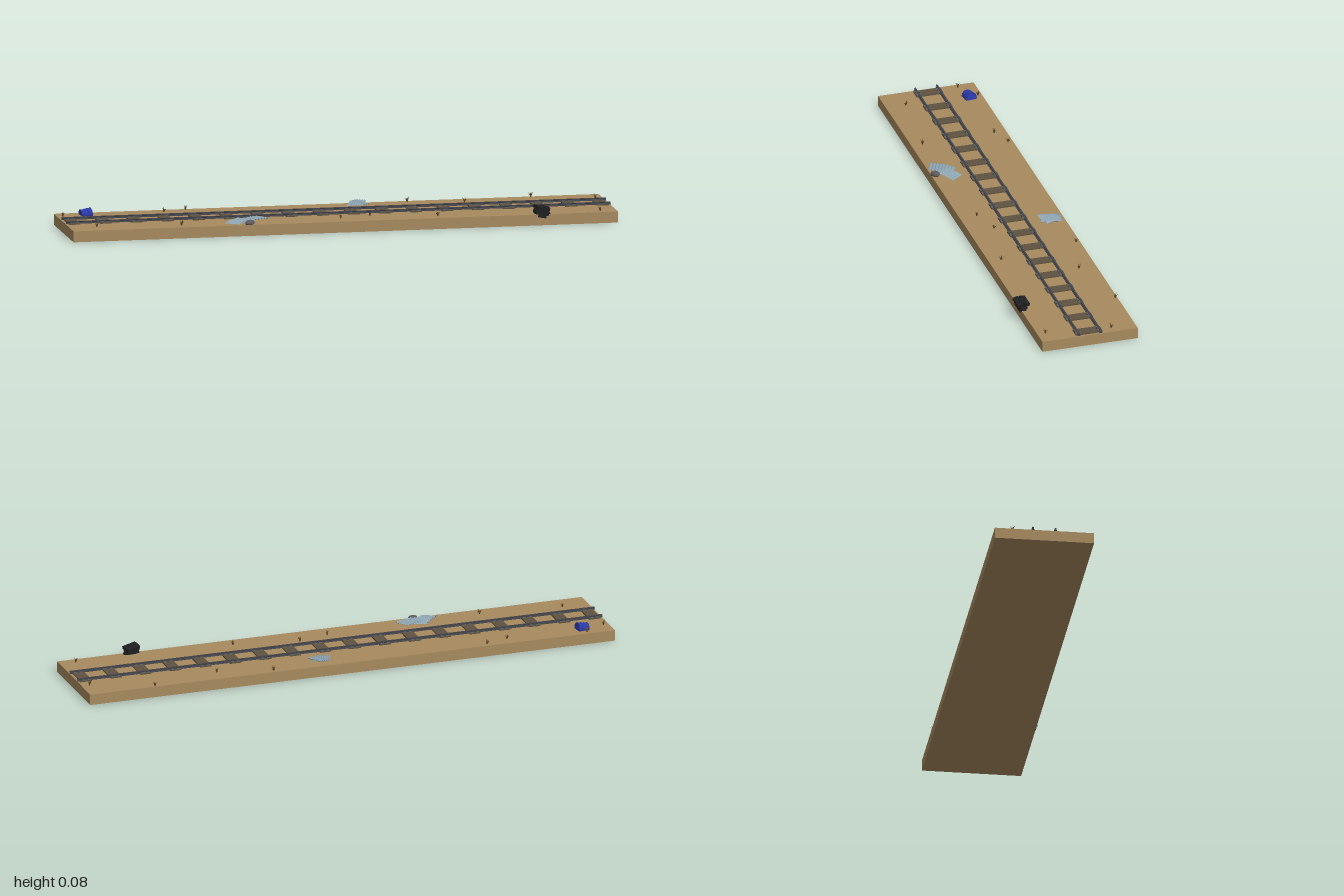
import * as THREE from 'three';
import { mergeGeometries } from 'three/addons/utils/BufferGeometryUtils.js';

const paint = (name, color, extra = {}) => new THREE.MeshStandardMaterial({ name, color, ...extra });

export function createModel() {
  const mats = {
    sand: paint('sand', 0xa78a5f),
    wood: paint('weathered wood', 0x5f5340),
    rail: paint('rail steel', 0x45464c),
    plate: paint('plate steel', 0x62605c),
    grass: paint('dry grass', 0x66502c, { side: THREE.DoubleSide }),
    sheet: paint('corrugated metal', 0x8fa6b4, { side: THREE.DoubleSide }),
    blue: paint('barrel blue', 0x2c3aa8),
    black: paint('burnt black', 0x202022, { flatShading: true }),
    stone: paint('grey stone', 0x5c5a5e, { flatShading: true }),
  };
  const root = new THREE.Group();
  const add = (name, geo, mat, pos = [0, 0, 0], rot = [0, 0, 0], parent = root) => {
    const m = new THREE.Mesh(geo, mat);
    m.name = name;
    m.position.set(...pos);
    m.rotation.set(...rot);
    parent.add(m);
    return m;
  };
  const group = (name, pos, rot = [0, 0, 0]) => {
    const g = new THREE.Group();
    g.name = name;
    g.position.set(...pos);
    g.rotation.set(...rot);
    root.add(g);
    return g;
  };
  let seed = 7;
  const rnd = () => (seed = (seed * 16807) % 2147483647) / 2147483647;

  // Ground slab
  const GROUND = 0.04;
  add('ground', new THREE.BoxGeometry(2, GROUND, 0.36), mats.sand, [0, GROUND / 2, -0.009]);

  // Sleepers with a pair of rail plates and bolts each
  const railZ = [0.032, -0.05];
  for (let i = 0; i < 18; i++) {
    const x = -0.969 + i * 0.114;
    add('sleeper', new THREE.BoxGeometry(0.042, 0.006, 0.1), mats.wood, [x, 0.0415, -0.009]);
    for (const z of railZ) {
      add('railPlate', new THREE.BoxGeometry(0.034, 0.002, 0.018), mats.plate, [x, 0.0452, z]);
      for (const s of [-1, 1])
        add('railBolt', new THREE.BoxGeometry(0.008, 0.003, 0.003), mats.rail, [x, 0.047, z + s * 0.0065]);
    }
  }

  // Rails: an I-shaped profile drawn along x
  const half = [[0.0048, 0], [0.0048, 0.0015], [0.0014, 0.0025], [0.0014, 0.006], [0.0032, 0.007], [0.0032, 0.0095]];
  const profile = new THREE.Shape([...half, ...half.map(([a, b]) => [-a, b]).reverse()].map(p => new THREE.Vector2(...p)));
  const railGeo = new THREE.ExtrudeGeometry(profile, { depth: 2, bevelEnabled: false });
  railGeo.translate(0, 0, -1).rotateY(Math.PI / 2);
  for (const z of railZ) add('rail', railGeo, mats.rail, [0, 0.0425, z]);

  // Dry grass tufts: fans of thin, leaning blades
  const blade = (angle, lean, h) => {
    const w = 0.0016, c = Math.cos(angle), s = Math.sin(angle);
    const at = (r, y, side) => [c * r - s * side, y, s * r + c * side];
    const a = at(0.001, 0, -w), b = at(0.001, 0, w);
    const m = at(lean * 0.45, h * 0.65, -w), n = at(lean * 0.45, h * 0.65, w), t = at(lean, h, 0);
    const g = new THREE.BufferGeometry();
    g.setAttribute('position', new THREE.Float32BufferAttribute([a, b, m, b, n, m, m, n, t].flat(), 3));
    g.computeVertexNormals();
    return g;
  };
  const tufts = [
    [-0.9, -0.174], [-0.98, -0.123], [-0.605, -0.144], [-0.52, -0.17], [0.295, -0.174], [0.495, -0.123], [0.75, -0.181],
    [0.97, -0.097], [-0.9, 0.098], [-0.595, 0.129], [-0.007, 0.107], [0.107, 0.077], [0.347, 0.124], [0.94, 0.141],
  ];
  for (const [x, z] of tufts) {
    const blades = [];
    for (let i = 0; i < 10; i++)
      blades.push(blade(i * 0.63 + rnd() * 0.5, 0.004 + rnd() * 0.009, 0.01 + rnd() * 0.009));
    add('grassTuft', mergeGeometries(blades), mats.grass, [x, GROUND, z]);
  }

  // Corrugated sheets: a plane with folded ridges, slightly bent
  const sheet = (w, d, ridges, bend, skew) => {
    const g = new THREE.PlaneGeometry(w, d, ridges * 4, 4).rotateX(-Math.PI / 2);
    const p = g.attributes.position;
    for (let i = 0; i < p.count; i++) {
      const x = p.getX(i), z = p.getZ(i);
      const u = (x / w + 0.5) * ridges * Math.PI * 2;
      p.setXYZ(i, x, 0.0025 * Math.sin(u) + bend * (1 - (2 * x / w) ** 2), z + skew * x);
    }
    g.computeVertexNormals();
    return g;
  };
  add('sheetLeft', sheet(0.095, 0.055, 8, 0.004, 0.3), mats.sheet, [-0.382, 0.046, 0.122], [0.05, 1.15, 0]);
  add('sheetRight', sheet(0.1, 0.055, 8, 0.003, 0.2), mats.sheet, [-0.332, 0.05, 0.113], [0, 0.62, 0.06]);
  add('sheetBack', sheet(0.06, 0.075, 7, 0.004, -0.3), mats.sheet, [0.1, 0.047, -0.135], [0.1, -0.35, 0.06]);
  add('sheetScrap', sheet(0.03, 0.07, 4, 0.002, 0.2), mats.sheet, [0.115, 0.049, -0.142], [0.08, 0.45, 0.1]);

  // Stone holding the sheets down
  const stone = add('stone', new THREE.IcosahedronGeometry(0.02, 1), mats.stone, [-0.35, 0.046, 0.157], [0.2, 0.5, 0]);
  stone.scale.set(1, 0.5, 0.7);

  // Half-buried barrel lying along x
  const barrel = group('barrel', [-0.892, 0.044, -0.139], [0, 0.12, 0.16]);
  add('barrelBody', new THREE.CylinderGeometry(0.02, 0.02, 0.038, 20), mats.blue, [0, 0, 0], [0, 0, Math.PI / 2], barrel);
  for (const x of [-0.019, -0.006, 0.006, 0.019])
    add('barrelHoop', new THREE.TorusGeometry(0.02, 0.0015, 6, 20), mats.blue, [x, 0, 0], [0, Math.PI / 2, 0], barrel);

  // Burnt engine hanging over the front edge
  const engine = group('engine', [0.72, 0.052, 0.164], [0, 0.12, -0.2]);
  add('engineBlock', new THREE.BoxGeometry(0.046, 0.024, 0.03), mats.black, [0, -0.002, 0], [0, 0, 0], engine);
  for (const s of [-1, 1]) {
    add('cylinderHead', new THREE.BoxGeometry(0.05, 0.011, 0.021), mats.black, [-0.002, 0.012, s * 0.012], [s * 0.2, 0, 0], engine);
    for (let i = 0; i < 4; i++)
      add('exhaustPort', new THREE.CylinderGeometry(0.0035, 0.0035, 0.008, 8), mats.black,
        [-0.02 + i * 0.012, 0.009, s * 0.0205], [Math.PI / 2, 0, 0], engine);
  }
  add('airIntake', new THREE.CylinderGeometry(0.009, 0.011, 0.007, 12), mats.black, [0, 0.018, 0], [0, 0, 0], engine);
  add('gearHousing', new THREE.CylinderGeometry(0.015, 0.008, 0.026, 10), mats.black, [0.024, -0.009, 0], [0, 0, 0.9], engine);
  add('sump', new THREE.BoxGeometry(0.03, 0.012, 0.02), mats.black, [0.004, -0.018, 0], [0, 0, 0], engine);
  add('pulley', new THREE.CylinderGeometry(0.009, 0.009, 0.006, 12), mats.black, [-0.026, -0.002, 0], [0, 0, Math.PI / 2], engine);

  return root;
}
